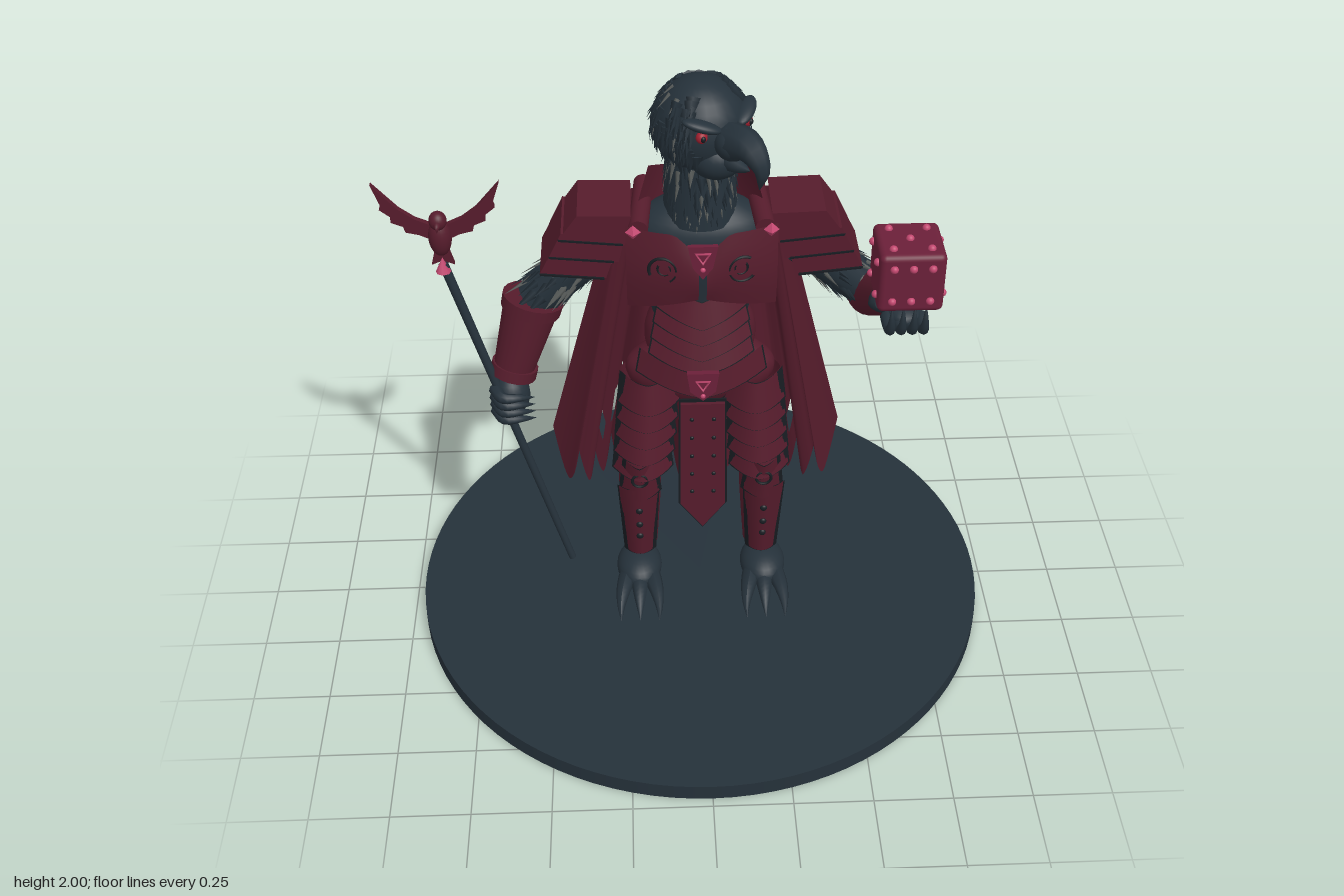
import * as THREE from 'three';
import { mergeGeometries } from 'three/addons/utils/BufferGeometryUtils.js';
import { RoundedBoxGeometry } from 'three/addons/geometries/RoundedBoxGeometry.js';

const V = (x, y, z) => new THREE.Vector3(x, y, z);
const lerp = THREE.MathUtils.lerp;
const mat = (name, color, side = THREE.FrontSide) => {
  const m = new THREE.MeshStandardMaterial({ color, side });
  m.name = name;
  return m;
};
const slate = mat('slate', 0x25313a, THREE.DoubleSide);
const maroon = mat('maroon', 0x561c2c, THREE.DoubleSide);
const crimson = mat('crimson', 0x6b2039);
const pink = mat('pink', 0xc2476f);
const grey = mat('grey feather', 0x5f6361, THREE.DoubleSide);
const black = mat('dark trim', 0x171c21, THREE.DoubleSide);
const red = mat('eye red', 0xa02030);

let seed = 7;
const rand = () => (seed = (seed * 16807) % 2147483647) / 2147483647;

function add(parent, name, geo, material, pos = [0, 0, 0], rot = [0, 0, 0], scale = [1, 1, 1]) {
  const m = new THREE.Mesh(geo, material);
  m.name = name;
  m.position.set(...pos);
  m.rotation.set(...rot);
  m.scale.set(...scale);
  parent.add(m);
  return m;
}
const ball = (p, name, material, pos, scale, rot) => add(p, name, new THREE.SphereGeometry(1, 24, 16), material, pos, rot, scale);

function limb(p, name, material, a, b, ra, rb) {
  const d = b.clone().sub(a);
  const m = add(p, name, new THREE.CylinderGeometry(rb, ra, d.length(), 20), material);
  m.position.copy(a).addScaledVector(d, 0.5);
  m.quaternion.setFromUnitVectors(V(0, 1, 0), d.normalize());
  return m;
}

// Tube along a curve narrowing to a point
function horn(p, name, material, pts, r) {
  const n = 12, k = 8, curve = new THREE.CatmullRomCurve3(pts);
  const geo = new THREE.TubeGeometry(curve, n, r, k), pos = geo.attributes.position, v = V(0, 0, 0);
  for (let i = 0; i < pos.count; i++) {
    const t = Math.floor(i / (k + 1)) / n;
    v.fromBufferAttribute(pos, i).lerp(curve.getPointAt(t), Math.pow(t, 1.6) * 0.97);
    pos.setXYZ(i, v.x, v.y, v.z);
  }
  geo.computeVertexNormals();
  return add(p, name, geo, material);
}

// Curved sheet: fn(u, v) with v = 0 at the top; skip(u, v) cuts holes
function sheet(p, name, material, nu, nv, fn, skip) {
  const geo = new THREE.PlaneGeometry(1, 1, nu, nv), pos = geo.attributes.position;
  for (let i = 0; i < pos.count; i++) pos.setXYZ(i, ...fn(pos.getX(i) + 0.5, 0.5 - pos.getY(i)));
  if (skip) {
    const old = geo.index.array, keep = [];
    for (let c = 0; c < nu * nv; c++)
      if (!skip(((c % nu) + 0.5) / nu, (Math.floor(c / nu) + 0.5) / nv)) keep.push(...old.slice(c * 6, c * 6 + 6));
    geo.setIndex(keep);
  }
  geo.computeVertexNormals();
  return add(p, name, geo, material);
}

// Bowed armour plate with a dark rim; vee drops its middle, zb is z at its lower edge
function lame(p, name, cx, yt, yb, wt, wb, zt, zb, bow, vee) {
  const make = (label, m, grow, back) => sheet(p, label, m, 12, 3, (u, v) => {
    const s = 2 * u - 1, a = Math.abs(s);
    return [cx + s * (lerp(wt, wb, v) + grow), lerp(yt, yb - grow, v) - vee * (1 - a), lerp(zt, zb, v) - bow * s * s - back];
  });
  make(name, maroon, 0, 0);
  make(name + 'Rim', black, 0.005, 0.005);
}

function slab(p, name, material, pts, z, depth) {
  const shape = new THREE.Shape(pts.map(q => new THREE.Vector2(...q)));
  return add(p, name, new THREE.ExtrudeGeometry(shape, { depth, bevelEnabled: false }), material, [0, 0, z]);
}

const lathe = (p, name, material, pts, pos, depth) =>
  add(p, name, new THREE.LatheGeometry(new THREE.SplineCurve(pts.map(q => new THREE.Vector2(...q))).getPoints(24), 28), material, pos, [0, 0, 0], [1, 1, depth]);

// Overlapping flat feathers; place(i) gives position, outward normal and tip direction
function feathers(p, name, material, count, w, len, place) {
  const list = [];
  for (let i = 0; i < count; i++) {
    const [pos, out, tip] = place(i);
    const y = tip.clone().addScaledVector(out, 0.22).normalize(), x = y.clone().cross(out).normalize();
    const g = new THREE.ConeGeometry(w, len * (0.8 + 0.4 * rand()), 4).scale(1, 1, 0.3);
    list.push(g.applyMatrix4(new THREE.Matrix4().makeBasis(x, y, x.clone().cross(y)).setPosition(pos)));
  }
  add(p, name, mergeGeometries(list), material);
}
const along = (a, b, r) => () => {
  const t = rand(), ang = rand() * 6.283, d = b.clone().sub(a).normalize();
  const e = d.clone().cross(V(0, 0, 1)).normalize(), f = d.clone().cross(e);
  const out = e.multiplyScalar(Math.cos(ang)).addScaledVector(f, Math.sin(ang));
  return [a.clone().lerp(b, t).addScaledVector(out, r), out, d];
};

export function createModel() {
  const g = new THREE.Group();
  add(g, 'base', new THREE.CylinderGeometry(0.97, 0.97, 0.055, 96), slate, [0, 0.0275, 0]);

  // Torso and hips
  lathe(g, 'torso', slate, [[0.13, 1.1], [0.17, 1.25], [0.22, 1.42], [0.2, 1.53], [0.09, 1.6]], [0, 0, -0.01], 0.55);
  lathe(g, 'waist', maroon, [[0.15, 1.0], [0.175, 1.05], [0.175, 1.13], [0.15, 1.2]], [0, 0, -0.02], 0.6);
  lathe(g, 'hips', maroon, [[0.18, 0.87], [0.235, 0.93], [0.235, 0.99], [0.17, 1.05]], [0, 0, -0.01], 0.5);

  // Breastplate, collar, pauldrons, legs and cape on both sides
  for (const s of [1, -1]) {
    const m = pts => pts.map(([x, y]) => [x * s, y]);
    const breast = (k, y) => [lerp(0.012, 0.228, k) * s, y, lerp(0.175, 0.115, k * k)];
    sheet(g, 'breastplate', maroon, 10, 6, (u, v) => {
      const b = breast(u, lerp(lerp(1.5, 1.57, Math.min(1, u * 3)), lerp(1.34, 1.285, u), v));
      b[2] += 0.02 * Math.sin(v * 3.14);
      return b;
    });
    sheet(g, 'breastSide', maroon, 4, 4, (u, v) => [0.228 * s, lerp(1.57, 1.285 + 0.07 * u, v), 0.115 - 0.13 * u + 0.02 * Math.sin(v * 3.14) * (1 - u)]);
    add(g, 'breastSwirl', new THREE.TorusGeometry(0.042, 0.005, 6, 24, 4.6), black, [0.12 * s, 1.45, 0.176], [0, 0.2 * s, s]);
    add(g, 'breastSwirlInner', new THREE.TorusGeometry(0.02, 0.004, 6, 16, 4.6), black, [0.115 * s, 1.455, 0.178], [0, 0.2 * s, 2.5]);
    limb(g, 'shoulderStrap', maroon, V(0.19 * s, 1.56, 0.12), V(0.17 * s, 1.58, -0.12), 0.03, 0.03);
    add(g, 'shoulderGem', new THREE.OctahedronGeometry(0.024), pink, [0.205 * s, 1.57, 0.15]);
    sheet(g, 'collar', maroon, 6, 3, (u, v) => [s * lerp(lerp(0.155, 0.2, v), lerp(0.075, 0.05, v), u), lerp(lerp(1.72, 1.64, u), 1.55, v), lerp(0.02, -0.13, u)]);
    slab(g, 'pauldronTop', maroon, m([[0.21, 1.6], [0.37, 1.605], [0.43, 1.52], [0.23, 1.5]]), -0.1, 0.21);
    slab(g, 'pauldronMiddle', maroon, m([[0.23, 1.53], [0.42, 1.545], [0.465, 1.45], [0.25, 1.44]]), -0.105, 0.215);
    slab(g, 'pauldronLower', maroon, m([[0.26, 1.47], [0.45, 1.48], [0.49, 1.4], [0.29, 1.38]]), -0.1, 0.205);
    for (let i = 0; i < 3; i++)
      slab(g, 'pauldronTrim', black, m([[0.235 + i * 0.03, 1.505 - i * 0.06], [0.43 + i * 0.03, 1.525 - i * 0.06], [0.428 + i * 0.03, 1.519 - i * 0.06], [0.235 + i * 0.03, 1.499 - i * 0.06]]), 0.108, 0.006);

    lathe(g, 'thigh', maroon, [[0.065, 0.56], [0.083, 0.7], [0.09, 0.82], [0.085, 0.92]], [0.18 * s, 0, -0.025], 1);
    lathe(g, 'shin', maroon, [[0.055, 0.2], [0.062, 0.3], [0.072, 0.48], [0.066, 0.59]], [0.205 * s, 0, -0.012], 0.95);
    add(g, 'ankleCap', new THREE.CylinderGeometry(0.05, 0.04, 0.06, 16), slate, [0.21 * s, 0.19, 0]);
    for (let i = 0; i < 5; i++)
      lame(g, 'tasset', (0.17 + i * 0.006) * s, 1.0 - i * 0.075, 0.895 - i * 0.075, 0.085, 0.098, 0.145 - i * 0.007, 0.165 - i * 0.007, 0.075, 0.01);
    lame(g, 'kneePlate', 0.205 * s, 0.66, 0.5, 0.05, 0.068, 0.14, 0.115, 0.04, 0.02);
    lame(g, 'shinPlate', 0.21 * s, 0.53, 0.2, 0.066, 0.05, 0.12, 0.07, 0.035, 0);
    add(g, 'kneeRing', new THREE.TorusGeometry(0.025, 0.005, 6, 20), black, [0.205 * s, 0.585, 0.13]);
    for (const y of [0.3, 0.36, 0.43]) ball(g, 'shinRivet', black, [0.21 * s, y, 0.07 + (y - 0.2) * 0.155], [0.012, 0.012, 0.008]);

    // Feet with claws
    ball(g, 'foot', slate, [0.215 * s, 0.137, 0.05], [0.078, 0.058, 0.108]);
    for (const t of [-1, 0, 1]) {
      const x = 0.215 * s + t * 0.04;
      horn(g, 'toe', slate, [V(x, 0.13, 0.1), V(x + t * 0.018, 0.125, 0.18), V(x + t * 0.025, 0.105, 0.23), V(x + t * 0.025, 0.078, 0.27)], 0.032);
    }

    // Tattered cape half with folds and holes
    const rip = Array.from({ length: 8 }, () => 0.1 + 0.16 * rand());
    sheet(g, 'cape', maroon, 84, 40, (u, v) => {
      const f = u * 7, i = Math.round(f), d = Math.abs(f - i) * 2;
      const bottom = 0.18 + rip[i] * Math.pow(1 - d, 1.7) + 0.02 * Math.sin(u * 9);
      const x = lerp(0.012 + 0.238 * u, 0.005 + 0.505 * u, v);
      const fold = 0.045 * Math.sin(u * 16 + 0.7) * Math.pow(v, 0.7) + 0.01 * Math.sin(u * 37) * v;
      return [s * (x + 0.015 * v * Math.sin(u * 13)), lerp(1.575 - 0.03 * u, bottom, v), lerp(-0.135, -0.355, v) + fold];
    }, (u, v) => (u > 0.56 && u < 0.64 && v > 0.68 && v < 0.79) || (u > 0.68 && u < 0.75 && v > 0.82 && v < 0.91) || (s < 0 && u > 0.36 && u < 0.41 && v > 0.79 && v < 0.88));
  }

  // Abdomen plates, belt and tabard
  for (let i = 0; i < 5; i++) lame(g, 'abdomenPlate', 0, 1.345 - i * 0.06, 1.26 - i * 0.06, 0.12 + i * 0.008, 0.14 + i * 0.008, 0.13, 0.155, 0.07, 0.05);
  lame(g, 'belt', 0, 1.09, 1.01, 0.19, 0.205, 0.175, 0.185, 0.1, 0.04);
  slab(g, 'tabardRim', black, [[-0.075, 0.97], [0.075, 0.97], [0.08, 0.54], [0, 0.43], [-0.08, 0.54]], 0.185, 0.006);
  slab(g, 'tabard', maroon, [[-0.07, 0.96], [0.07, 0.96], [0.073, 0.545], [0, 0.445], [-0.073, 0.545]], 0.192, 0.012);
  for (const x of [-0.035, 0.035]) for (let i = 0; i < 5; i++) ball(g, 'tabardRivet', black, [x, 0.9 - i * 0.075, 0.205], [0.007, 0.007, 0.005]);
  slab(g, 'chestClasp', crimson, [[-0.045, 1.545], [0.045, 1.545], [0.03, 1.47], [0, 1.43], [-0.03, 1.47]], 0.185, 0.015);
  slab(g, 'beltBuckle', crimson, [[-0.05, 1.09], [0.05, 1.09], [0.04, 1.02], [0, 0.985], [-0.04, 1.02]], 0.2, 0.018);
  for (const [y, z] of [[1.51, 0.202], [1.05, 0.22]]) {
    add(g, 'claspGem', new THREE.TorusGeometry(0.024, 0.005, 6, 3), pink, [0, y, z], [0, 0, -Math.PI / 2]);
    ball(g, 'claspStud', pink, [0, y - 0.045, z], [0.008, 0.008, 0.006]);
  }

  // Neck and feathered head, turned to its left
  add(g, 'neck', new THREE.CylinderGeometry(0.1, 0.115, 0.24, 24), slate, [0, 1.66, -0.005]);
  const neckSpot = along(V(0, 1.76, -0.005), V(0, 1.57, -0.005), 0.108);
  feathers(g, 'neckFeathers', slate, 90, 0.017, 0.07, neckSpot);
  feathers(g, 'neckGreyFeathers', grey, 60, 0.012, 0.07, neckSpot);
  const head = new THREE.Group();
  head.name = 'head';
  head.position.set(0, 1.855, 0.005);
  head.rotation.y = 0.62;
  g.add(head);
  ball(head, 'skull', slate, [0, 0, 0], [0.14, 0.145, 0.145]);
  const scalp = (lo, hi) => () => {
    const a = Math.PI / 2 + 0.75 + rand() * (2 * Math.PI - 1.5), e = lo + (hi - lo) * rand();
    const out = V(Math.cos(a) * Math.cos(e), Math.sin(e), Math.sin(a) * Math.cos(e));
    return [out.clone().multiplyScalar(0.145), out, V(out.x * Math.sin(e), -Math.cos(e), out.z * Math.sin(e)).normalize()];
  };
  feathers(head, 'headFeathers', slate, 170, 0.022, 0.075, scalp(-0.7, 0.85));
  feathers(head, 'headGreyFeathers', grey, 22, 0.01, 0.06, scalp(-0.6, 0.9));
  ball(head, 'throat', slate, [0, -0.075, 0.08], [0.085, 0.07, 0.08]);
  ball(head, 'cere', slate, [0, 0.0, 0.155], [0.058, 0.055, 0.055]);
  horn(head, 'upperBeak', slate, [V(0, 0, 0.14), V(0, 0.015, 0.225), V(0, -0.03, 0.282), V(0, -0.1, 0.275)], 0.057);
  horn(head, 'lowerBeak', slate, [V(0, -0.06, 0.12), V(0, -0.065, 0.19), V(0, -0.06, 0.23)], 0.038);
  for (const s of [1, -1]) {
    ball(head, 'eye', red, [0.083 * s, 0.025, 0.113], [0.018, 0.018, 0.016]);
    ball(head, 'pupil', black, [0.087 * s, 0.025, 0.125], [0.008, 0.01, 0.008]);
    ball(head, 'brow', slate, [0.08 * s, 0.058, 0.11], [0.06, 0.016, 0.028], [0, 0.6 * s, 0.3 * s]);
  }

  // Left arm raised, holding the die
  const arm = (a, b) => {
    limb(g, 'upperArm', slate, a, b, 0.08, 0.065);
    feathers(g, 'armFeathers', slate, 50, 0.018, 0.08, along(a, b, 0.072));
    feathers(g, 'armGreyFeathers', grey, 26, 0.013, 0.09, along(a, b, 0.078));
  };
  const elbow = V(0.54, 1.235, -0.01), wrist = V(0.585, 1.355, 0.2);
  arm(V(0.32, 1.44, 0), elbow);
  ball(g, 'elbow', maroon, elbow.toArray(), [0.08, 0.07, 0.075]);
  limb(g, 'leftBracer', maroon, elbow, wrist, 0.082, 0.058);
  limb(g, 'leftBracerCuff', maroon, elbow.clone().lerp(wrist, 0.85), wrist, 0.066, 0.064);
  ball(g, 'leftPalm', slate, [0.59, 1.365, 0.27], [0.06, 0.035, 0.09]);
  for (let i = 0; i < 4; i++) {
    const x = 0.54 + i * 0.033;
    horn(g, 'leftFinger', slate, [V(x, 1.36, 0.31), V(x, 1.355, 0.375), V(x, 1.4, 0.395), V(x, 1.45, 0.39)], 0.021);
  }
  horn(g, 'leftThumb', slate, [V(0.54, 1.36, 0.26), V(0.505, 1.38, 0.27), V(0.505, 1.45, 0.28)], 0.022);
  const die = new THREE.Group();
  die.name = 'die';
  die.position.set(0.59, 1.53, 0.305);
  g.add(die);
  add(die, 'dieBody', new RoundedBoxGeometry(0.192, 0.192, 0.192, 3, 0.018), crimson);
  const c = 0.055, pips = { 1: [[0, 0]], 2: [[-c, -c], [c, c]], 5: [[0, 0], [c, c], [-c, -c], [c, -c], [-c, c]] };
  pips[3] = [...pips[2], [0, 0]];
  pips[4] = pips[5].slice(1);
  pips[6] = [...pips[4], [0, c], [0, -c]];
  const faces = [[6, 0, 0], [1, 0, Math.PI], [3, 0, Math.PI / 2], [4, 0, -Math.PI / 2], [5, -Math.PI / 2, 0], [2, Math.PI / 2, 0]];
  for (const [n, rx, ry] of faces)
    for (const [x, y] of pips[n]) ball(die, 'pip', pink, V(x, y, 0.097).applyEuler(new THREE.Euler(rx, ry, 0)).toArray(), [0.012, 0.012, 0.012]);

  // Right arm lowered, gripping the staff
  arm(V(-0.32, 1.44, 0), V(-0.52, 1.24, 0));
  limb(g, 'rightBracer', maroon, V(-0.525, 1.235, 0), V(-0.6, 0.99, 0.035), 0.09, 0.064);
  limb(g, 'rightBracerTop', maroon, V(-0.522, 1.245, 0), V(-0.533, 1.205, 0.004), 0.098, 0.095);
  limb(g, 'rightBracerCuff', maroon, V(-0.592, 1.01, 0.03), V(-0.602, 0.975, 0.036), 0.075, 0.075);
  ball(g, 'rightHand', slate, [-0.612, 0.905, 0.05], [0.062, 0.075, 0.06]);
  for (let i = 0; i < 4; i++) {
    const y = 0.94 - i * 0.028;
    horn(g, 'rightFinger', slate, [V(-0.66, y, 0.07), V(-0.63, y, 0.122), V(-0.575, y - 0.005, 0.115), V(-0.535, y - 0.03, 0.08)], 0.022);
  }

  // Staff topped by a winged bird
  limb(g, 'staff', slate, V(-0.445, 0.2, 0.075), V(-0.782, 1.42, 0.065), 0.012, 0.015);
  const bird = new THREE.Group();
  bird.name = 'staffBird';
  bird.position.set(-0.782, 1.53, 0.07);
  g.add(bird);
  add(bird, 'socket', new THREE.ConeGeometry(0.024, 0.05, 8), pink, [0, -0.11, 0]);
  ball(bird, 'birdBody', maroon, [0, -0.01, 0], [0.035, 0.065, 0.035]);
  ball(bird, 'birdHead', maroon, [0, 0.055, 0.015], [0.027, 0.03, 0.028]);
  horn(bird, 'birdBeak', maroon, [V(0, 0.055, 0.035), V(0, 0.05, 0.05), V(0, 0.035, 0.055)], 0.01);
  slab(bird, 'birdTail', maroon, [[-0.015, -0.04], [0.015, -0.04], [0.035, -0.115], [0, -0.1], [-0.035, -0.115]], -0.02, 0.014);
  for (const s of [1, -1])
    slab(bird, 'birdWing', maroon, [[0.015, 0.03], [0.07, 0.055], [0.115, 0.09], [0.188, 0.175], [0.165, 0.105], [0.17, 0.09], [0.14, 0.065], [0.14, 0.045], [0.105, 0.03], [0.1, 0.01], [0.06, 0.0], [0.02, -0.02]].map(([x, y]) => [x * s, y]), -0.012, 0.018);
  return g;
}
